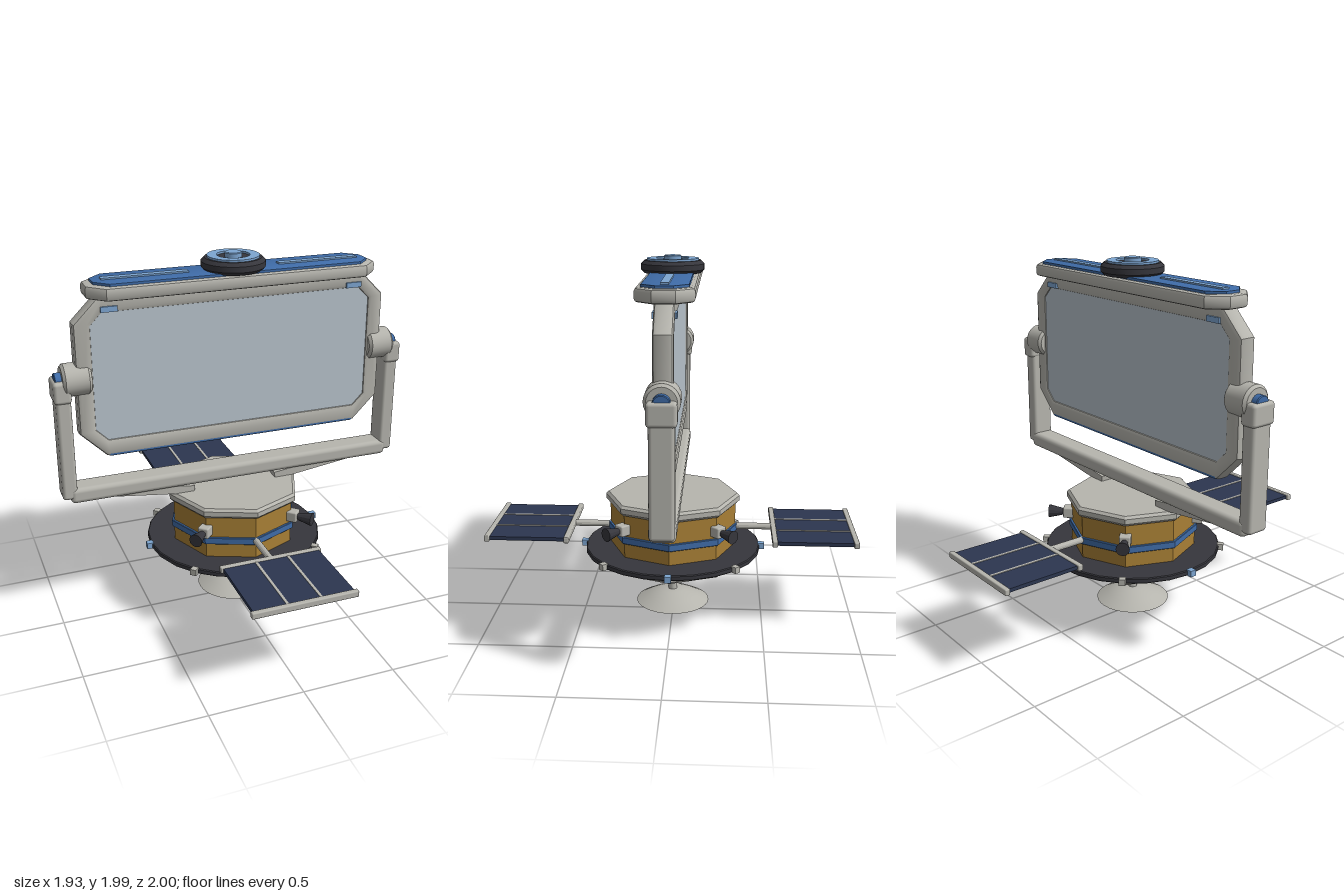
import * as THREE from 'three';
import { toCreasedNormals } from 'three/addons/utils/BufferGeometryUtils.js';
import { RoundedBoxGeometry } from 'three/addons/geometries/RoundedBoxGeometry.js';

export function createModel() {
  const model = new THREE.Group();
  model.name = 'satelliteDisplay';

  const material = (name, color, side = THREE.FrontSide) => {
    const m = new THREE.MeshStandardMaterial({ color, side });
    m.name = name;
    return m;
  };
  const grey = material('warmGrey', 0xb6b5ae, THREE.DoubleSide);
  const screenMat = material('paleScreen', 0xb9c4cd);
  const blue = material('blue', 0x3f6ca8);
  const lightBlue = material('lightBlue', 0x7da6d2);
  const gold = material('goldFoil', 0xa87f35);
  const dark = material('charcoal', 0x36363c);
  const navy = material('solarNavy', 0x2c3650);

  const add = (name, geometry, mat, x = 0, y = 0, z = 0, parent = model) => {
    const mesh = new THREE.Mesh(geometry, mat);
    mesh.name = name;
    mesh.position.set(x, y, z);
    parent.add(mesh);
    return mesh;
  };
  const crease = (g) => toCreasedNormals(g, 0.5);
  const box = (w, h, d) => new THREE.BoxGeometry(w, h, d);
  const rounded = (w, h, d, r = 0.018) => new RoundedBoxGeometry(w, h, d, 2, r);
  const lathe = (points, sides) =>
    crease(new THREE.LatheGeometry(points.map(([r, y]) => new THREE.Vector2(r, y)), sides));
  // Disc or prism with bevelled rims, standing from y0 to y1
  const puck = (r, y0, y1, bevel, sides) =>
    lathe([[0, y0], [r - bevel, y0], [r, y0 + bevel], [r, y1 - bevel], [r - bevel, y1], [0, y1]], sides);

  // Rectangle with cut corners, half sizes w and h
  const cutCorners = (w, h, c, Type = THREE.Shape) =>
    new Type([
      [-w + c, -h], [w - c, -h], [w, -h + c], [w, h - c],
      [w - c, h], [-w + c, h], [-w, h - c], [-w, -h + c],
    ].map(([x, y]) => new THREE.Vector2(x, y)));
  const slab = (shape, depth, bevel) => {
    const g = new THREE.ExtrudeGeometry(shape, {
      depth: depth - 2 * bevel, bevelEnabled: bevel > 0, bevelThickness: bevel,
      bevelSize: bevel, bevelOffset: -bevel, bevelSegments: 2,
    });
    g.center();
    return crease(g);
  };
  const flatSlab = (shape, depth, bevel) => slab(shape, depth, bevel).rotateX(-Math.PI / 2);

  // Screen and its frame
  const frameShape = cutCorners(0.845, 0.43, 0.14);
  frameShape.holes.push(cutCorners(0.755, 0.333, 0.06, THREE.Path));
  add('screenFrame', slab(frameShape, 0.096, 0.022), grey, 0, 1.415);
  add('screen', slab(cutCorners(0.78, 0.36, 0.07), 0.074, 0), screenMat, 0, 1.41);
  add('lowerTrim', rounded(1.4, 0.03, 0.09, 0.01), blue, 0, 1.0);
  for (const s of [-1, 1]) add('screenMarker', box(0.085, 0.028, 0.116), lightBlue, s * 0.663, 1.77);

  // Top bar with its blue plate and light strips
  add('topBar', flatSlab(cutCorners(0.775, 0.14, 0.085), 0.068, 0.018), grey, 0, 1.861);
  add('topPlate', flatSlab(cutCorners(0.735, 0.112, 0.07), 0.016, 0.003), blue, 0, 1.9);
  for (const s of [-1, 1]) add('topStrip', box(0.445, 0.012, 0.04), lightBlue, s * 0.465, 1.91);

  // Round sensor on top
  add('sensorHousing', puck(0.165, 1.9, 1.965, 0.018, 32), dark);
  add('sensorRing', lathe([[0.085, 1.96], [0.135, 1.96], [0.135, 1.975], [0.085, 1.975], [0.085, 1.96]], 32), lightBlue);
  add('sensorButton', puck(0.045, 1.96, 1.99, 0.004, 24), lightBlue);

  // Yoke: crossbar, side arms, pivots and struts
  add('yokeCrossbar', rounded(1.83, 0.085, 0.13, 0.025), grey, 0, 0.792);
  for (const s of [-1, 1]) {
    add('yokeArm', rounded(0.078, 0.57, 0.12), grey, s * 0.917, 1.06);
    add('armCap', rounded(0.09, 0.115, 0.142), grey, s * 0.92, 1.367);
    add('pivotHub', puck(0.085, -0.073, 0.073, 0.014, 24).rotateZ(Math.PI / 2), grey, s * 0.842, 1.415);
    add('pivotPin', puck(0.042, -0.03, 0.03, 0.004, 24).rotateZ(Math.PI / 2), blue, s * 0.92, 1.415);
    const strut = add('yokeStrut', box(0.45, 0.045, 0.07), grey, s * 0.46, 0.737);
    strut.rotation.z = s * 0.13;
  }

  // Eight-sided body
  add('bodyCore', puck(0.347, 0.33, 0.67, 0.002, 8), gold);
  add('bodyTopPlate', puck(0.37, 0.645, 0.7, 0.014, 8), grey);
  add('bodyBottomPlate', puck(0.37, 0.305, 0.36, 0.014, 8), grey);
  add('bodyBand', puck(0.36, 0.486, 0.525, 0.003, 8), blue);
  add('skirtRing', puck(0.485, 0.376, 0.406, 0.005, 24), dark);

  // Small blocks around the skirt, thrusters on the diagonals
  for (let i = 0; i < 8; i++) {
    const spoke = new THREE.Group();
    const diagonal = i % 2 === 1;
    spoke.name = diagonal ? 'thrusterSpoke' : 'beaconSpoke';
    spoke.rotation.y = (i * Math.PI) / 4;
    model.add(spoke);
    add('skirtBlock', box(0.034, 0.034, 0.036), diagonal ? grey : lightBlue, 0, 0.394, 0.492, spoke);
    if (diagonal) {
      add('thrusterBlock', rounded(0.062, 0.06, 0.07, 0.008), grey, 0, 0.567, 0.355, spoke);
      const nozzle = crease(new THREE.CylinderGeometry(0.037, 0.016, 0.09, 12).rotateX(Math.PI / 2));
      add('thrusterNozzle', nozzle, dark, 0, 0.565, 0.427, spoke);
    }
  }

  // Solar wings at front and back
  for (const s of [1, -1]) {
    const wing = new THREE.Group();
    wing.name = 'solarWing';
    wing.rotation.y = s > 0 ? 0 : Math.PI;
    model.add(wing);
    const boom = crease(new THREE.CylinderGeometry(0.018, 0.018, 0.25, 12).rotateX(Math.PI / 2));
    add('wingBoom', boom, grey, 0, 0.508, 0.435, wing);
    add('solarPanel', box(0.53, 0.02, 0.42), navy, 0, 0.508, 0.772, wing);
    for (const z of [0.557, 0.986]) add('wingRail', rounded(0.558, 0.034, 0.028, 0.006), grey, 0, 0.508, z, wing);
    for (const x of [-0.088, 0.088]) add('panelDivider', box(0.014, 0.026, 0.41), grey, x, 0.508, 0.772, wing);
  }

  // Dish antenna underneath
  add('antennaMast', crease(new THREE.CylinderGeometry(0.024, 0.024, 0.2, 12)), grey, 0, 0.21);
  add('antennaDish', lathe([[0.203, 0.06], [0.14, 0.094], [0.07, 0.125], [0, 0.127]], 32), grey);
  add('antennaFeed', crease(new THREE.CylinderGeometry(0.015, 0.015, 0.12, 12)), dark, 0, 0.06);

  return model;
}
